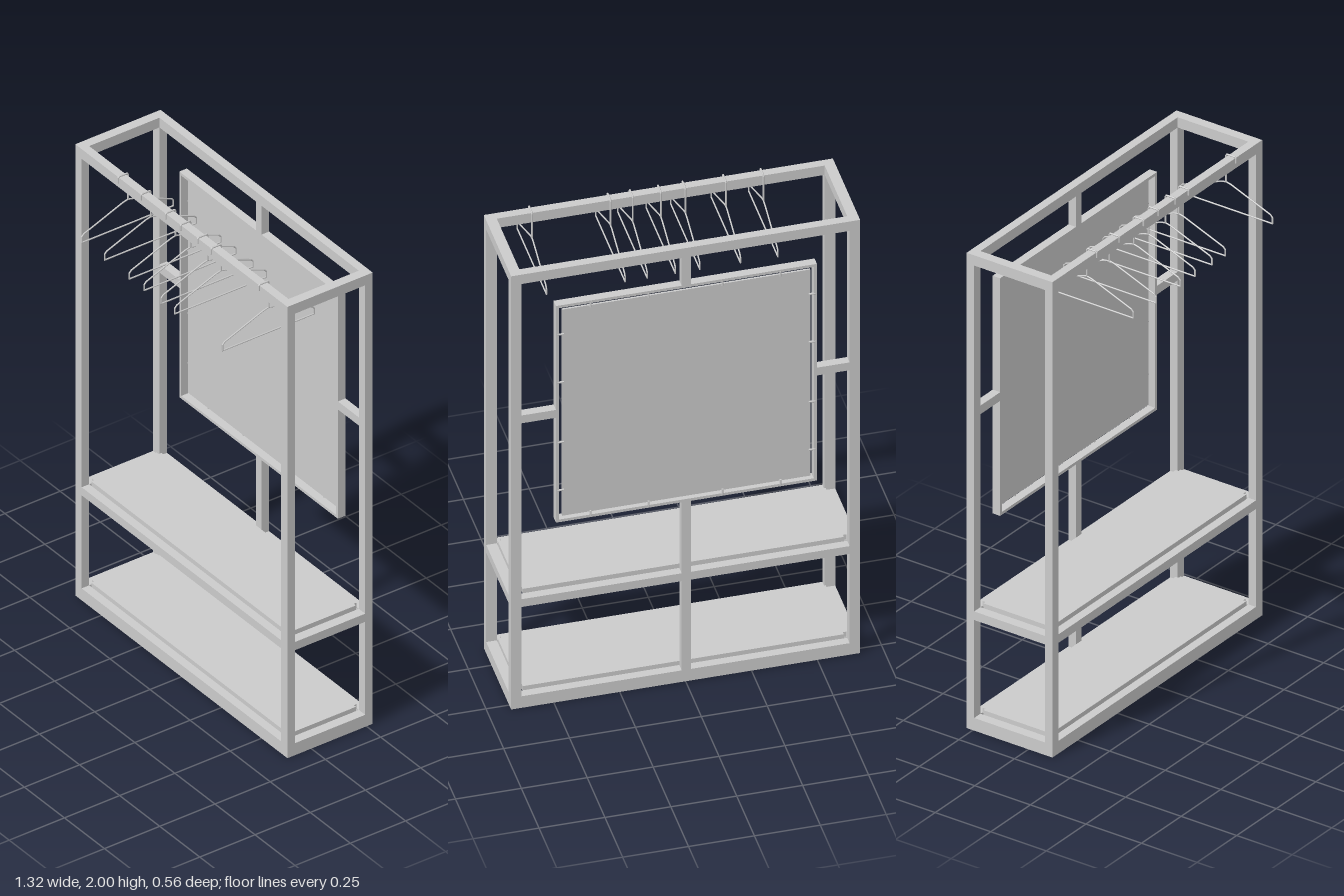
import * as THREE from 'three';
import { mergeGeometries } from 'three/addons/utils/BufferGeometryUtils.js';

const grey = new THREE.MeshStandardMaterial({ color: 0xcccccc });

// Box given by its limits on each axis
function bar(parent, name, x0, x1, y0, y1, z0, z1) {
  const m = new THREE.Mesh(new THREE.BoxGeometry(x1 - x0, y1 - y0, z1 - z0), grey);
  m.position.set((x0 + x1) / 2, (y0 + y1) / 2, (z0 + z1) / 2);
  m.name = name;
  parent.add(m);
  return m;
}

// Bent wire in the z-y plane: a rod per segment, a ball at each bend
function wireGeometry(points, r) {
  const parts = [];
  const up = new THREE.Vector3(0, 1, 0);
  const pts = points.map(([z, y]) => new THREE.Vector3(0, y, z));
  pts.forEach((p, i) => {
    parts.push(new THREE.SphereGeometry(r, 8, 6).translate(p.x, p.y, p.z));
    if (i === 0) return;
    const d = p.clone().sub(pts[i - 1]);
    const rod = new THREE.CylinderGeometry(r, r, d.length(), 8);
    rod.applyQuaternion(new THREE.Quaternion().setFromUnitVectors(up, d.normalize()));
    const mid = p.clone().add(pts[i - 1]).multiplyScalar(0.5);
    parts.push(rod.translate(mid.x, mid.y, mid.z));
  });
  return mergeGeometries(parts);
}

export function createModel() {
  const model = new THREE.Group();
  model.name = 'clothesRack';

  // Outer limits and tube widths of the main frame
  const X = 0.662, TX = 0.04, ZB = -0.278, ZF = 0.108, TZ = 0.034, H = 1.99;
  const xi = X - TX, zb = ZB + TZ, zf = ZF - TZ;

  const frame = new THREE.Group();
  frame.name = 'frame';
  model.add(frame);

  // Corner posts
  for (const [x0, x1] of [[-X, -xi], [xi, X]])
    for (const [z0, z1] of [[ZB, zb], [zf, ZF]])
      bar(frame, 'cornerPost', x0, x1, 0, H, z0, z1);

  // Rectangular rings of rails at the base, middle and top
  for (const [y0, y1] of [[0, 0.053], [0.463, 0.499], [1.947, H]]) {
    bar(frame, 'backRail', -xi, xi, y0, y1, ZB, zb);
    bar(frame, 'frontRail', -xi, xi, y0, y1, zf, ZF);
    bar(frame, 'rightRail', -X, -xi, y0, y1, zb, zf);
    bar(frame, 'leftRail', xi, X, y0, y1, zb, zf);
  }

  // Shelf boards with notched corners, standing just above their rails
  const n = 0.013, cz = (zb + zf) / 2, hz = (zf - zb) / 2;
  const outline = new THREE.Shape([
    [-xi + n, -hz], [xi - n, -hz], [xi - n, -hz + n], [xi, -hz + n],
    [xi, hz - n], [xi - n, hz - n], [xi - n, hz], [-xi + n, hz],
    [-xi + n, hz - n], [-xi, hz - n], [-xi, -hz + n], [-xi + n, -hz + n],
  ].map(([x, y]) => new THREE.Vector2(x, y)));
  const board = new THREE.ExtrudeGeometry(outline, { depth: 0.022, bevelEnabled: false });
  board.rotateX(-Math.PI / 2);
  for (const y of [0.05, 0.497]) {
    const shelf = new THREE.Mesh(board, grey);
    shelf.name = 'shelf';
    shelf.position.set(0, y, cz);
    model.add(shelf);
  }

  // Struts that carry the back panel
  const px0 = -0.498, px1 = 0.492, py0 = 0.825, py1 = 1.82;
  bar(frame, 'lowerCentreStrut', -0.02, 0.015, 0.053, 0.463, ZB, zb);
  bar(frame, 'middleCentreStrut', -0.02, 0.015, 0.499, py0, ZB, zb);
  bar(frame, 'upperCentreStrut', -0.02, 0.015, py1, 1.947, ZB, zb);
  bar(frame, 'rightStrut', -xi, px0, 1.307, 1.343, ZB, zb);
  bar(frame, 'leftStrut', px1, xi, 1.307, 1.343, ZB, zb);

  // Thin frame with the panel hung inside it, clear all round
  const panel = new THREE.Group();
  panel.name = 'backPanel';
  model.add(panel);
  const t = 0.012, g = 0.024;
  bar(panel, 'panelFrameRight', px0, px0 + t, py0, py1, ZB, zb);
  bar(panel, 'panelFrameLeft', px1 - t, px1, py0, py1, ZB, zb);
  bar(panel, 'panelFrameBottom', px0 + t, px1 - t, py0, py0 + t, ZB, zb);
  bar(panel, 'panelFrameTop', px0 + t, px1 - t, py1 - t, py1, ZB, zb);
  bar(panel, 'panelSheet', px0 + g, px1 - g, py0 + g, py1 - g, -0.274, -0.266);

  // Small pins bridging the gap
  const pinGeo = new THREE.CylinderGeometry(0.004, 0.004, 0.024, 8);
  const pin = (x, y, turned) => {
    const m = new THREE.Mesh(pinGeo, grey);
    m.name = 'panelPin';
    m.position.set(x, y, -0.276);
    if (turned) m.rotation.z = Math.PI / 2;
    panel.add(m);
  };
  for (const x of [-0.36, -0.14, 0.14, 0.36])
    for (const y of [py0 + 0.018, py1 - 0.018]) pin(x, y, false);
  for (const y of [0.97, 1.19, 1.465, 1.685])
    for (const x of [px0 + 0.018, px1 - 0.018]) pin(x, y, true);

  // Wire hangers hooked over the front top rail
  const body = wireGeometry([
    [0.068, 1.88], [0.09, 1.875], [0.268, 1.806], [0.277, 1.796], [0.277, 1.771],
    [-0.137, 1.771], [-0.137, 1.796], [-0.128, 1.806], [0.046, 1.875], [0.068, 1.88],
  ], 0.003);
  const hook = wireGeometry([
    [0.068, 1.88], [0.068, 1.99], [0.072, 1.996], [0.108, 1.996], [0.112, 1.992], [0.112, 1.972],
  ], 0.0035);
  for (const x of [-0.388, -0.246, -0.092, 0.001, 0.108, 0.192, 0.49]) {
    const hanger = new THREE.Group();
    hanger.name = 'hanger';
    hanger.position.x = x;
    for (const [name, geo] of [['hangerBody', body], ['hangerHook', hook]]) {
      const m = new THREE.Mesh(geo, grey);
      m.name = name;
      hanger.add(m);
    }
    model.add(hanger);
  }
  return model;
}
